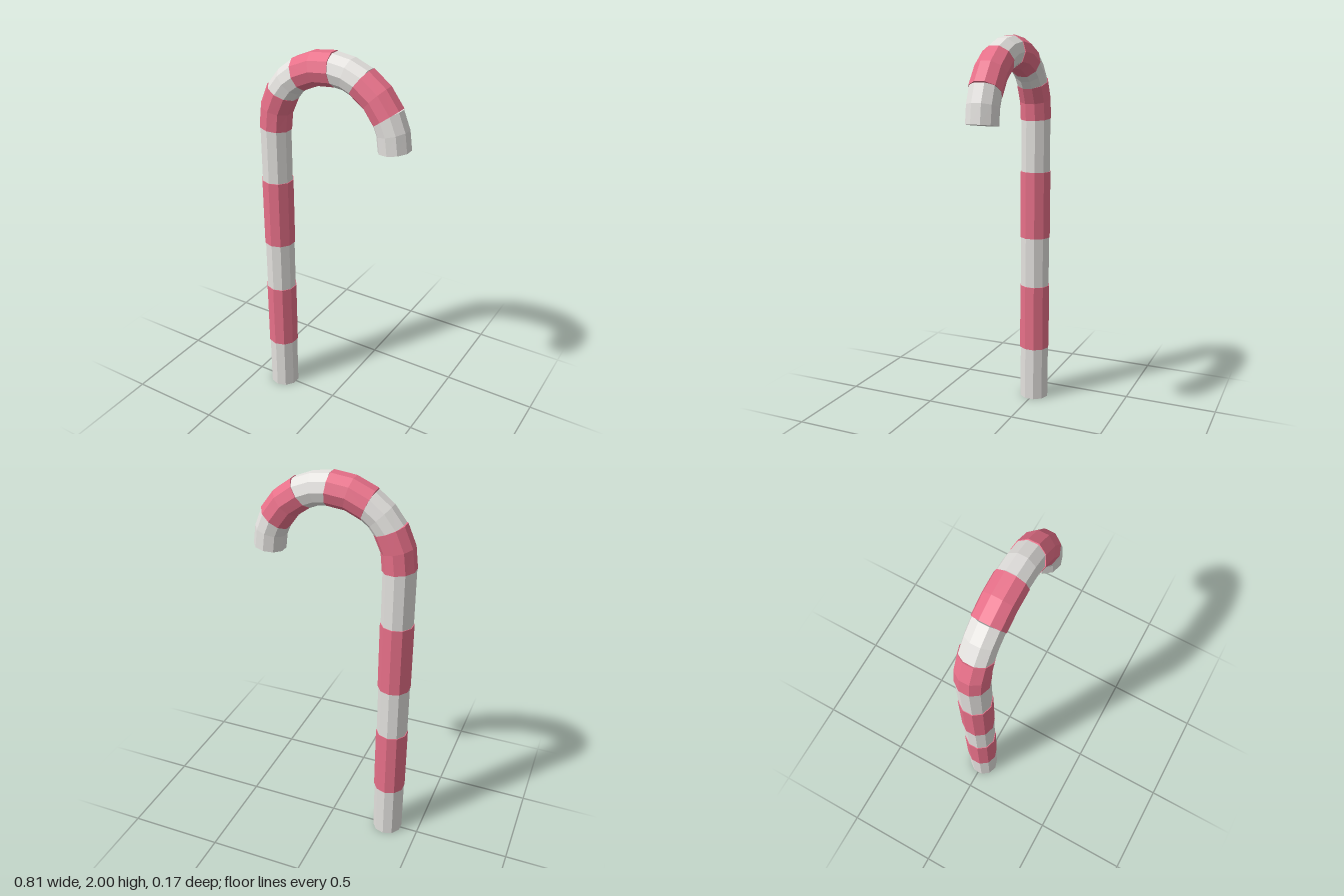
import * as THREE from 'three';

const SIDES = 10;
const WHITE_R = 0.0795, RED_R = 0.083;
const HOOK_X = 0.002, HOOK_Y = 1.59, HOOK_R = 0.33;
const OVERLAP = 0.022; // red bands reach slightly past the white pieces

const white = new THREE.MeshStandardMaterial({ color: 0xe3e1de });
white.name = 'white';
const red = new THREE.MeshStandardMaterial({ color: 0xe9718a });
red.name = 'red';

// Capped ten-sided rod whose rings follow a list of 2D points, with flat faces
function rod(points, radius) {
  const last = points.length - 1;
  const base = new THREE.CylinderGeometry(radius, radius, 1, SIDES, last);
  const pos = base.attributes.position;
  for (let v = 0; v < pos.count; v++) {
    const i = Math.round((pos.getY(v) + 0.5) * last);
    const c = points[i];
    const t = points[Math.min(i + 1, last)].clone().sub(points[Math.max(i - 1, 0)]).normalize();
    const x = pos.getX(v);
    pos.setXY(v, c.x + t.y * x, c.y - t.x * x);
  }
  const flat = base.toNonIndexed();
  flat.computeVertexNormals();
  return flat;
}

export function createModel() {
  const group = new THREE.Group();
  group.name = 'candyCane';

  function add(name, points, isRed) {
    const mesh = new THREE.Mesh(rod(points, isRed ? RED_R : WHITE_R), isRed ? red : white);
    mesh.name = name;
    group.add(mesh);
  }

  // Straight stem: five equal pieces, white and red in turn
  const step = HOOK_Y / 5;
  for (let i = 0; i < 5; i++) {
    const isRed = i % 2 === 1;
    const extra = isRed ? OVERLAP : 0;
    add(isRed ? 'stemRedBand' : 'stemWhitePiece', [
      new THREE.Vector2(HOOK_X - HOOK_R, i * step - extra),
      new THREE.Vector2(HOOK_X - HOOK_R, (i + 1) * step + extra),
    ], isRed);
  }

  // Hook: six pieces of 30 degrees, each bent once in the middle
  for (let i = 0; i < 6; i++) {
    const isRed = i % 2 === 0;
    const extra = isRed ? 0.042 : 0;
    const from = Math.PI - i * Math.PI / 6 + extra;
    const to = Math.PI - (i + 1) * Math.PI / 6 - extra;
    const points = [from, (from + to) / 2, to].map((a) =>
      new THREE.Vector2(HOOK_X + HOOK_R * Math.cos(a), HOOK_Y + HOOK_R * Math.sin(a)));
    add(isRed ? 'hookRedBand' : 'hookWhitePiece', points, isRed);
  }
  return group;
}
